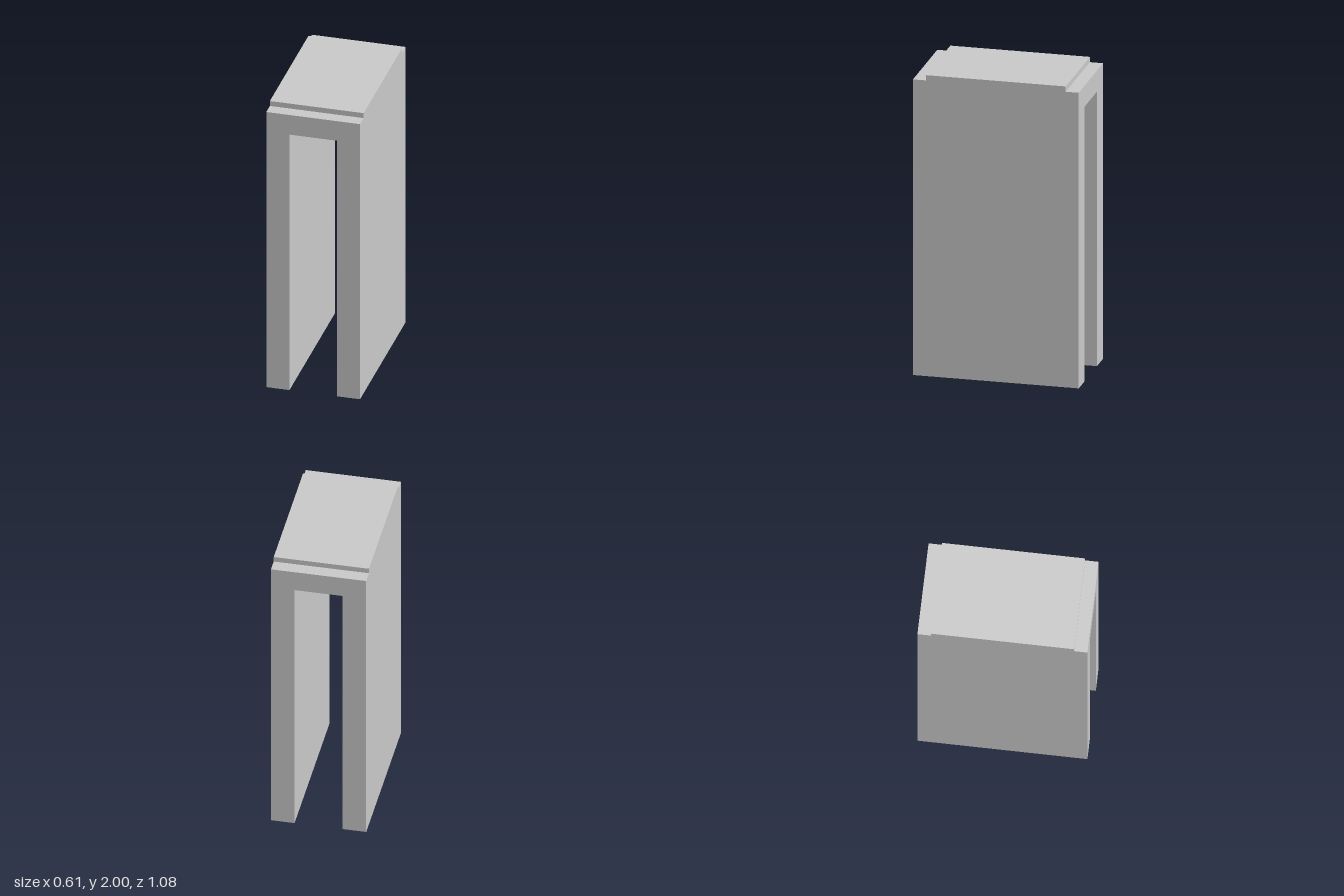
import * as THREE from 'three';

const HALF_WIDTH = 0.307, HALF_OPENING = 0.155, OPENING_TOP = 1.825;

// Stations along z: the top is lowered into a ledge at each end.
const STATIONS = [
  { z: -0.54, top: 1.965 }, { z: -0.455, top: 1.965 },
  { z: -0.455, top: 2 }, { z: 0.455, top: 2 },
  { z: 0.455, top: 1.965 }, { z: 0.54, top: 1.965 },
];

export function createModel() {
  const group = new THREE.Group();

  // Upside-down U profile: two legs joined by a thick lintel.
  const profile = new THREE.Shape([
    [-HALF_WIDTH, 0], [-HALF_OPENING, 0], [-HALF_OPENING, OPENING_TOP],
    [HALF_OPENING, OPENING_TOP], [HALF_OPENING, 0], [HALF_WIDTH, 0],
    [HALF_WIDTH, 2], [-HALF_WIDTH, 2],
  ].map(([x, y]) => new THREE.Vector2(x, y)));

  // One ring per station, so z holds the station index before it is moved.
  const steps = STATIONS.length - 1;
  const geometry = new THREE.ExtrudeGeometry(profile, { depth: steps, steps, bevelEnabled: false });
  const position = geometry.attributes.position;
  for (let i = 0; i < position.count; i++) {
    const { z, top } = STATIONS[Math.round(position.getZ(i))];
    position.setZ(i, z);
    if (position.getY(i) > 1.9) position.setY(i, top);
  }
  geometry.computeVertexNormals();

  const arch = new THREE.Mesh(
    geometry,
    new THREE.MeshStandardMaterial({ color: 0xcccccc, flatShading: true }),
  );
  arch.name = 'steppedArch';
  group.add(arch);
  return group;
}
